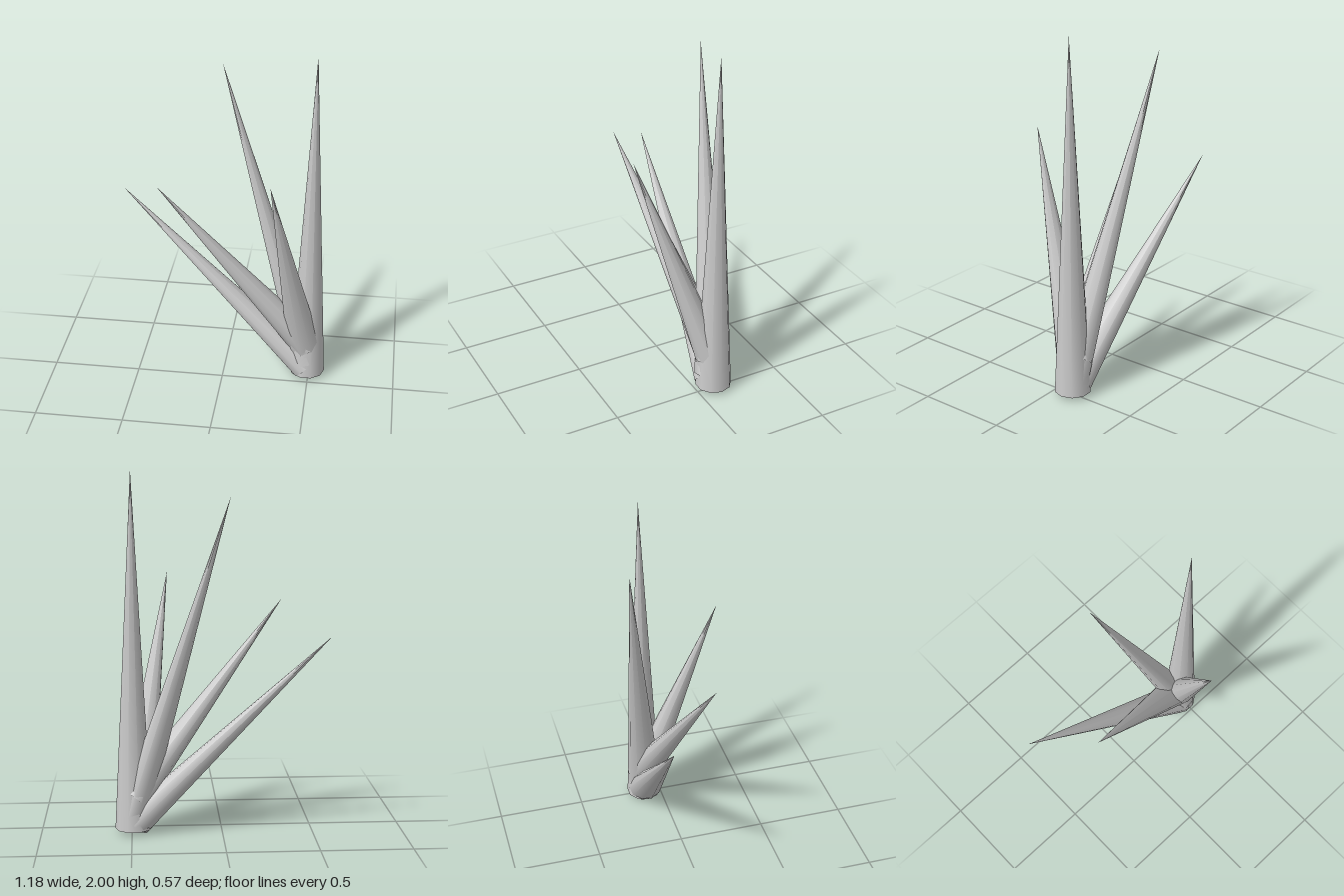
import * as THREE from 'three';

// Each spike: base centre, tip, radius across the lean, radius along the lean
const SPIKES = [
  ['mainSpike', [0.49, 0.025, -0.104], [0.49, 2.0, -0.104], 0.102, 0.102],
  ['lowSpike', [0.475, 0.06, -0.1], [-0.59, 1.105, -0.205], 0.102, 0.086],
  ['middleSpike', [0.48, 0.205, -0.107], [-0.345, 1.275, 0.092], 0.104, 0.09],
  ['tallSideSpike', [0.488, 0.1, -0.1], [-0.035, 1.86, -0.285], 0.102, 0.085],
  ['frontSpike', [0.465, 0.22, -0.093], [0.29, 1.41, 0.285], 0.1, 0.089],
];

export function createModel() {
  const group = new THREE.Group();
  const material = new THREE.MeshStandardMaterial({ color: 0xcccccc, side: THREE.DoubleSide });

  // Open-ended ten-sided unit cone standing on its base
  const cone = new THREE.ConeGeometry(1, 1, 10, 1, true);
  cone.translate(0, 0.5, 0).rotateY(Math.PI / 2);

  for (const [name, base, tip, across, along] of SPIKES) {
    const start = new THREE.Vector3(...base);
    const axis = new THREE.Vector3(...tip).sub(start);
    const length = axis.length();
    axis.normalize();

    // Frame whose x runs level, across the direction of lean
    const level = new THREE.Vector3(0, 1, 0).cross(axis);
    if (level.length() < 1e-4) level.set(1, 0, 0);
    level.normalize();
    const lean = new THREE.Vector3().crossVectors(level, axis);

    const spike = new THREE.Mesh(cone, material);
    spike.name = name;
    spike.position.copy(start);
    spike.quaternion.setFromRotationMatrix(new THREE.Matrix4().makeBasis(level, axis, lean));
    spike.scale.set(across, length, along);
    group.add(spike);
  }
  return group;
}
